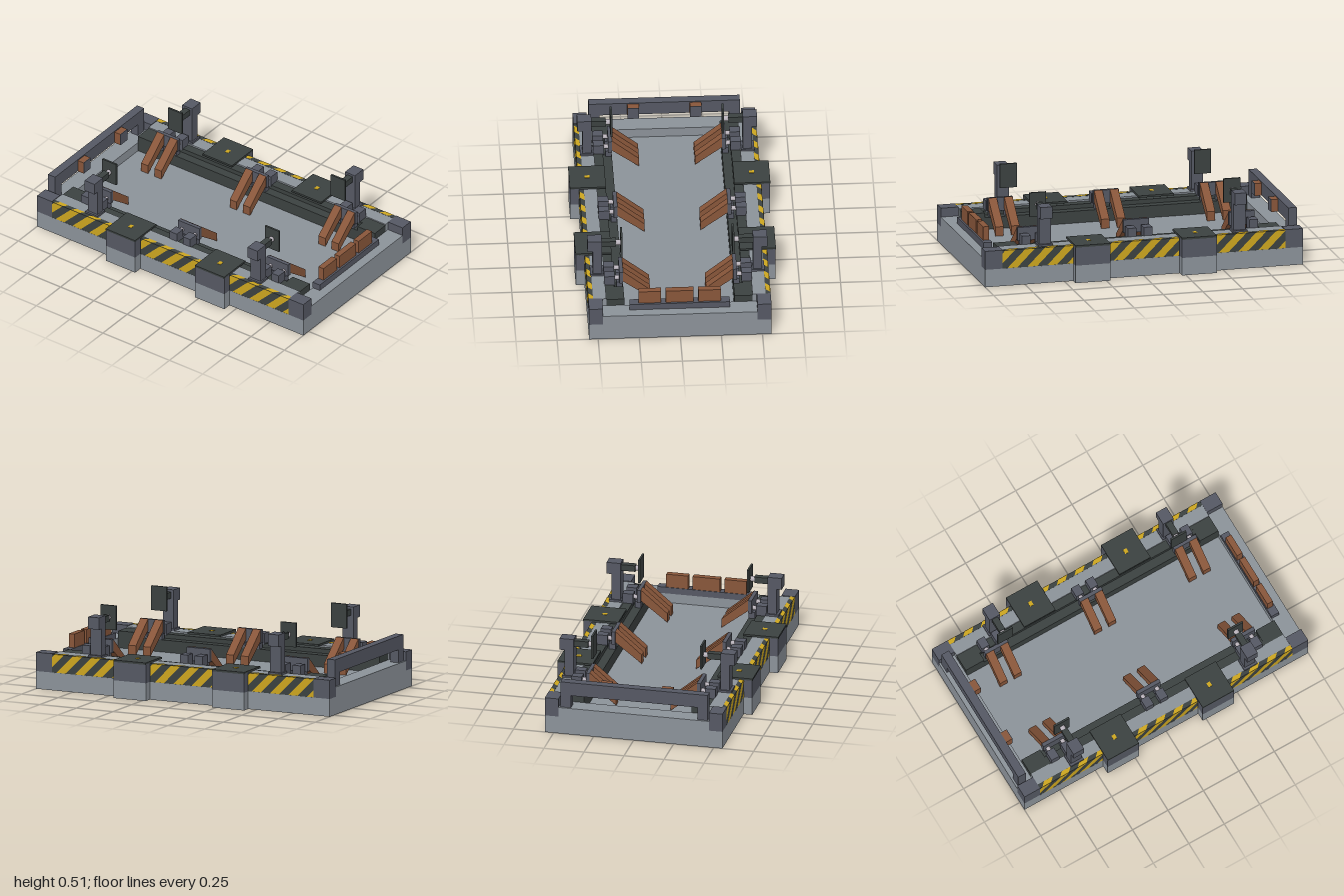
import * as THREE from 'three';

const mat = (name, color, side = THREE.FrontSide) => {
  const m = new THREE.MeshStandardMaterial({ color, side });
  m.name = name;
  return m;
};

export function createModel() {
  const model = new THREE.Group();
  model.name = 'dockingPlatform';
  const hull = mat('light grey', 0x8b9299);
  const steel = mat('slate grey', 0x555863);
  const dark = mat('dark green grey', 0x3b4140);
  const wood = mat('brown', 0x88563a);
  const yellow = mat('hazard yellow', 0xcca51f, THREE.DoubleSide);
  const rodMat = mat('pale metal', 0xb9b3bb);

  const add = (name, geo, m) => {
    const mesh = new THREE.Mesh(geo, m);
    mesh.name = name;
    model.add(mesh);
    return mesh;
  };
  // Box from its limits
  const box = (name, m, x0, x1, y0, y1, z0, z1) =>
    add(name, new THREE.BoxGeometry(Math.abs(x1 - x0), y1 - y0, Math.abs(z1 - z0)), m)
      .position.set((x0 + x1) / 2, (y0 + y1) / 2, (z0 + z1) / 2);
  // Horizontal rod along x
  const rod = (name, m, r, x0, x1, y, z) =>
    add(name, new THREE.CylinderGeometry(r, r, Math.abs(x1 - x0), 12).rotateZ(Math.PI / 2), m)
      .position.set((x0 + x1) / 2, y, z);

  // Keep the part of a polygon where sign * (u - limit) >= 0
  const clip = (pts, limit, sign) => pts.flatMap((p, i) => {
    const q = pts[(i + 1) % pts.length];
    const dp = sign * (p[0] - limit), dq = sign * (q[0] - limit);
    const out = dp >= 0 ? [p] : [];
    if (dp * dq < 0) {
      const t = dp / (dp - dq);
      out.push([limit, p[1] + (q[1] - p[1]) * t]);
    }
    return out;
  });
  // Slanted stripes between u = a and b, height h
  const stripes = (a, b, h, shift, place) => {
    const period = 0.125, w = 0.062;
    for (let k = -2; k < (b - a) / period + 1; k++) {
      const u = a + k * period + shift;
      let pts = [[u, 0], [u + w, 0], [u + w + h, h], [u + h, h]];
      pts = clip(clip(pts, a, 1), b, -1);
      if (pts.length < 3) continue;
      const shape = new THREE.Shape(pts.map(p => new THREE.Vector2(...p)));
      add('hazardStripe', place(new THREE.ShapeGeometry(shape)), yellow);
    }
  };

  // Base and end sills
  box('base', hull, -0.555, 0.555, 0, 0.11, -1, 1);
  for (const e of [-1, 1]) box('endSill', hull, -0.47, 0.47, 0.11, 0.17, e * 0.89, e);

  for (const s of [-1, 1]) {
    // Side wall with dark stepped ledge inside
    box('sideWall', hull, s * 0.445, s * 0.525, 0.11, 0.222, -0.89, 0.89);
    box('hazardBand', dark, s * 0.525, s * 0.554, 0.11, 0.223, -0.89, 0.89);
    box('lowerLedge', dark, s * 0.335, s * 0.39, 0.11, 0.185, -0.89, 0.89);
    box('upperLedge', dark, s * 0.39, s * 0.445, 0.11, 0.212, -0.89, 0.89);

    // Hazard paint on the outside and top of the band
    for (const [a, b] of [[-0.89, -0.44], [-0.22, 0.22], [0.44, 0.89]]) {
      stripes(a, b, 0.112, 0.03, g => g.rotateY(s * Math.PI / 2).translate(s * 0.5555, 0.111, 0));
      stripes(a, b, 0.028, 0.142,
        g => g.rotateX(-Math.PI / 2).rotateY(s * Math.PI / 2).translate(s * 0.554, 0.2245, 0));
    }

    for (const e of [-1, 1]) {
      box('cornerBlock', steel, s * 0.47, s * 0.555, 0.11, 0.226, e * 0.89, e);
      box('ledgeEndPlate', dark, s * 0.335, s * 0.445, 0.17, 0.215, e * 0.76, e * 0.89);

      // Side piers with deck plates
      const z0 = e * 0.335 - 0.11, z1 = e * 0.335 + 0.11;
      box('pierFoot', hull, s * 0.5, s * 0.608, 0, 0.11, z0, z1);
      box('pierBody', steel, s * 0.5, s * 0.608, 0.11, 0.226, z0, z1);
      box('pierDeck', dark, s * 0.39, s * 0.61, 0.224, 0.236, z0, z1);
      box('deckMark', yellow, s * 0.485, s * 0.515, 0.236, 0.238, e * 0.335 - 0.012, e * 0.335 + 0.012);

      // Fender post with ram and push plate
      const z = e * 0.612;
      box('postFoot', steel, s * 0.45, s * 0.53, 0.222, 0.235, z - 0.046, z + 0.046);
      box('post', steel, s * 0.46, s * 0.515, 0.222, 0.4, z - 0.037, z + 0.037);
      box('postHead', steel, s * 0.46, s * 0.547, 0.4, 0.474, z - 0.037, z + 0.037);
      box('ramSleeve', dark, s * 0.372, s * 0.46, 0.421, 0.46, z - 0.02, z + 0.02);
      rod('ramRod', rodMat, 0.017, s * 0.345, s * 0.373, 0.44, z);
      box('pushPlate', dark, s * 0.334, s * 0.346, 0.364, 0.515, z - 0.053, z + 0.053);
    }

    // Support stations: bracket, housings and paired sloping arms
    for (const zc of [-0.67, -0.004, 0.662]) {
      box('bracket', steel, s * 0.335, s * 0.358, 0.222, 0.305, zc - 0.08, zc + 0.08);
      for (const d of [-0.05, 0.05]) {
        const z = zc + d;
        box('housing', steel, s * 0.385, s * 0.45, 0.205, 0.275, z - 0.027, z + 0.027);
        rod('pistonRod', rodMat, 0.014, s * 0.357, s * 0.386, 0.25, z);
        box('bracketFoot', steel, s * 0.337, s * 0.375, 0.18, 0.225, z - 0.018, z + 0.018);
        const arm = new THREE.Shape([[0.17, 0.11], [0.335, 0.235], [0.335, 0.307], [0.17, 0.168]]
          .map(([x, y]) => new THREE.Vector2(s * x, y)));
        add('supportArm', new THREE.ExtrudeGeometry(arm, { depth: 0.052, bevelEnabled: false }), wood)
          .position.z = z - 0.026;
      }
    }

    // Rear gate leg and pad
    box('gateLeg', steel, s * 0.395, s * 0.46, 0.17, 0.25, -0.988, -0.935);
    box('gatePad', wood, s * 0.155, s * 0.225, 0.25, 0.328, -0.936, -0.894);
    box('gatePadFace', steel, s * 0.155, s * 0.225, 0.25, 0.328, -0.894, -0.89);
  }

  // Rear gate beam
  box('gateBeam', steel, -0.46, 0.46, 0.25, 0.335, -0.988, -0.935);

  // Front stop beam with three blocks
  box('stopBeam', steel, -0.305, 0.305, 0.17, 0.21, 0.888, 0.942);
  for (const [a, b] of [[-0.25, -0.113], [-0.085, 0.085], [0.113, 0.25]])
    box('stopBlock', wood, a, b, 0.21, 0.295, 0.892, 0.93);

  return model;
}
